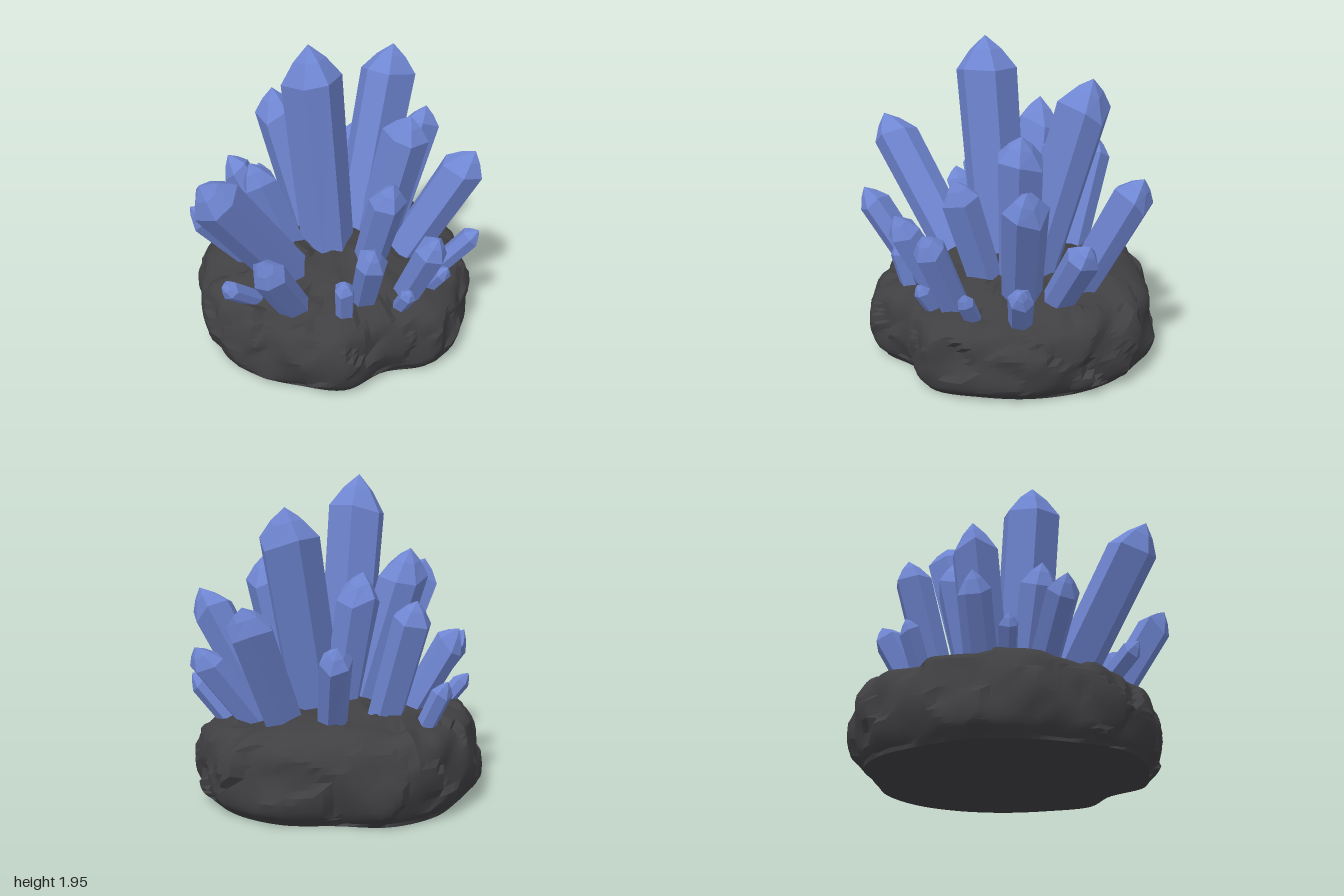
import * as THREE from 'three';
import { toCreasedNormals } from 'three/addons/utils/BufferGeometryUtils.js';

// Small seeded random generator
function seeded(seed) {
  let s = seed * 7919 + 17;
  return () => {
    s = (s * 16807) % 2147483647;
    return s / 2147483647;
  };
}

// Skin a stack of closed rings, lowest first; a collapsed ring repeats one point
function loft(rings) {
  const positions = [];
  const tri = (a, b, c) => {
    if (a === b || b === c || a === c) return;
    positions.push(...a.toArray(), ...b.toArray(), ...c.toArray());
  };
  for (let k = 0; k < rings.length - 1; k++) {
    const lo = rings[k], hi = rings[k + 1], n = lo.length;
    for (let i = 0; i < n; i++) {
      const j = (i + 1) % n;
      tri(lo[i], hi[i], lo[j]);
      tri(hi[i], hi[j], lo[j]);
    }
  }
  const geometry = new THREE.BufferGeometry();
  geometry.setAttribute('position', new THREE.Float32BufferAttribute(positions, 3));
  geometry.computeVertexNormals();
  return geometry;
}

// Crystals lean away from one centre; k is how far out the foot stands towards the tip
function crystal(x, y, z, k, seed) {
  const rand = seeded(seed + 3);
  for (let i = 0; i < 5; i++) rand();
  const tip = new THREE.Vector3(x, y, z);
  const base = new THREE.Vector3(0.13, 0, 0.04).lerp(tip, k);
  base.y = 0.54 - 0.1 * Math.hypot(base.x, base.z) - 0.06 * base.z;
  const axis = tip.clone().sub(base);
  const length = axis.length(), r = 0.14 * length ** 0.68;
  const turn = rand() * Math.PI;

  // Six uneven corners, a shoulder, a bevel and a point
  const corners = Array.from({ length: 6 }, (_, i) => ({
    a: turn + (i + (rand() - 0.5) * 0.35) * Math.PI / 3,
    drop: r * (1.2 + (rand() - 0.5) * 0.6),
    w: r * (0.98 + rand() * 0.1),
  }));
  const ring = (scale, height) => corners.map((c) =>
    new THREE.Vector3(Math.cos(c.a) * c.w * scale, height(c), Math.sin(c.a) * c.w * scale));
  const foot = new THREE.Vector3(0, -0.13, 0), apex = new THREE.Vector3(0, length, 0);
  const geometry = loft([
    corners.map(() => foot),
    ring(0.92, () => -0.13),
    ring(1, (c) => length - c.drop),
    ring(0.52, (c) => length - c.drop * 0.42),
    corners.map(() => apex),
  ]);
  geometry.applyQuaternion(new THREE.Quaternion().setFromUnitVectors(
    new THREE.Vector3(0, 1, 0), axis.normalize()));
  geometry.translate(base.x, base.y, base.z);
  return geometry;
}

// Chiselled rock: an outline scaled along a profile, then chipped by blended tilted facets
function rockGeometry() {
  // Outline radii at even angles, from +x towards +z
  const radii = [0.98, 0.96, 0.93, 0.91, 0.93, 0.8, 0.89, 0.86, 0.88,
    0.89, 0.85, 0.85, 0.88, 0.88, 0.94, 0.96, 0.9, 0.96];
  const outline = new THREE.CatmullRomCurve3(radii.map((r, i) => {
    const a = (i / radii.length) * Math.PI * 2;
    return new THREE.Vector3(r * Math.cos(a), 0, r * Math.sin(a));
  }), true);
  // Scale of the outline and height
  const profile = new THREE.CatmullRomCurve3([
    [0.91, 0.01], [0.97, 0.07], [1, 0.2], [0.985, 0.33], [0.94, 0.42],
    [0.83, 0.475], [0.55, 0.53], [0.3, 0.6], [0.06, 0.65],
  ].map(([s, y]) => new THREE.Vector3(s, y, 0)));
  const surface = (u, t) => {
    const p = outline.getPoint(u), q = profile.getPoint(t);
    return new THREE.Vector3(p.x * q.x, q.y, p.z * q.x);
  };

  const rand = seeded(11);
  const facets = Array.from({ length: 170 }, () => ({
    p: surface(rand(), rand()),
    tilt: new THREE.Vector3(rand() - 0.5, rand() - 0.5, rand() - 0.5).multiplyScalar(0.7),
    lift: (rand() - 0.55) * 0.05,
  }));
  const chip = (v) => {
    let sum = 0, total = 1e-9;
    for (const f of facets) {
      const d = v.clone().sub(f.p);
      const weight = Math.exp(-d.lengthSq() / 0.003);
      sum += weight * (f.lift + f.tilt.dot(d));
      total += weight;
    }
    return THREE.MathUtils.clamp(sum / total, -0.045, 0.02);
  };

  const N = 110, M = 26, rings = [];
  for (let k = 0; k <= M; k++) {
    const side = THREE.MathUtils.smoothstep(profile.getPoint(k / M).x, 0.7, 1);
    const ring = [];
    for (let i = 0; i < N; i++) {
      const v = surface(i / N, k / M);
      if (k === 0) {
        v.y = 0;
      } else {
        const wave = 0.015 * Math.sin(7 * v.x + 3 * v.z) * Math.sin(6 * v.z + 9 * v.y);
        const off = chip(v) + wave;
        v.x *= 1 + off * side;
        v.z *= 1 + off * side;
        // The top slopes down towards the front
        v.y += off * (1 - 0.7 * side) - v.z * 0.06 * Math.min(1, v.y * 2);
        v.y = Math.max(v.y, 0.005);
      }
      ring.push(v);
    }
    rings.push(ring);
  }
  const bottom = new THREE.Vector3(0, 0, 0), top = new THREE.Vector3(0, 0.65, 0);
  rings.unshift(rings[0].map(() => bottom));
  rings.push(rings[M + 1].map(() => top));
  return toCreasedNormals(loft(rings), 0.4);
}

export function createModel() {
  const model = new THREE.Group();
  const crystalBlue = new THREE.MeshStandardMaterial({ color: 0x6f86d2 });
  crystalBlue.name = 'crystalBlue';
  const rockGrey = new THREE.MeshStandardMaterial({ color: 0x403f42 });
  rockGrey.name = 'rockGrey';

  const rock = new THREE.Mesh(rockGeometry(), rockGrey);
  rock.name = 'rockBase';
  model.add(rock);

  // Each crystal: tip x, y, z and foot distance
  const clusters = {
    tallCrystal: [
      [-0.16, 1.95, 0.02, 0.52], [-0.98, 1.37, 0.13, 0.44], [0.58, 1.755, -0.08, 0.24],
      [0.38, 1.46, 0.32, 0.45], [-0.1, 1.51, -0.45, 0.46], [0.2, 1.38, -0.34, 0.45],
    ],
    mediumCrystal: [
      [0.66, 1.255, 0.61, 0.48], [0.93, 1.22, -0.11, 0.53], [0.9, 0.94, 0.36, 0.57],
      [0.06, 1.19, 0.54, 0.52], [0.13, 0.96, 0.87, 0.7], [-0.24, 0.96, 0.74, 0.68],
      [-0.82, 0.96, 0.47, 0.67], [-0.45, 1.19, -0.2, 0.6], [-0.79, 0.93, -0.36, 0.62],
      [0.17, 1.24, -0.72, 0.67], [0.64, 1.01, -0.55, 0.63], [-0.33, 1.02, -0.65, 0.66],
    ],
    smallCrystal: [
      [-0.88, 0.64, 0.12, 0.79], [-0.55, 0.7, -0.57, 0.82], [0.02, 0.77, -0.83, 0.85],
      [0.68, 0.71, 0.68, 0.74], [-0.36, 0.74, 0.62, 0.9], [0, 0.61, 0.8, 0.85],
      [0.33, 0.62, 0.77, 0.83],
    ],
  };
  for (const [name, list] of Object.entries(clusters)) {
    for (const [x, y, z, k] of list) {
      const mesh = new THREE.Mesh(crystal(x, y, z, k, model.children.length), crystalBlue);
      mesh.name = name;
      model.add(mesh);
    }
  }
  return model;
}
